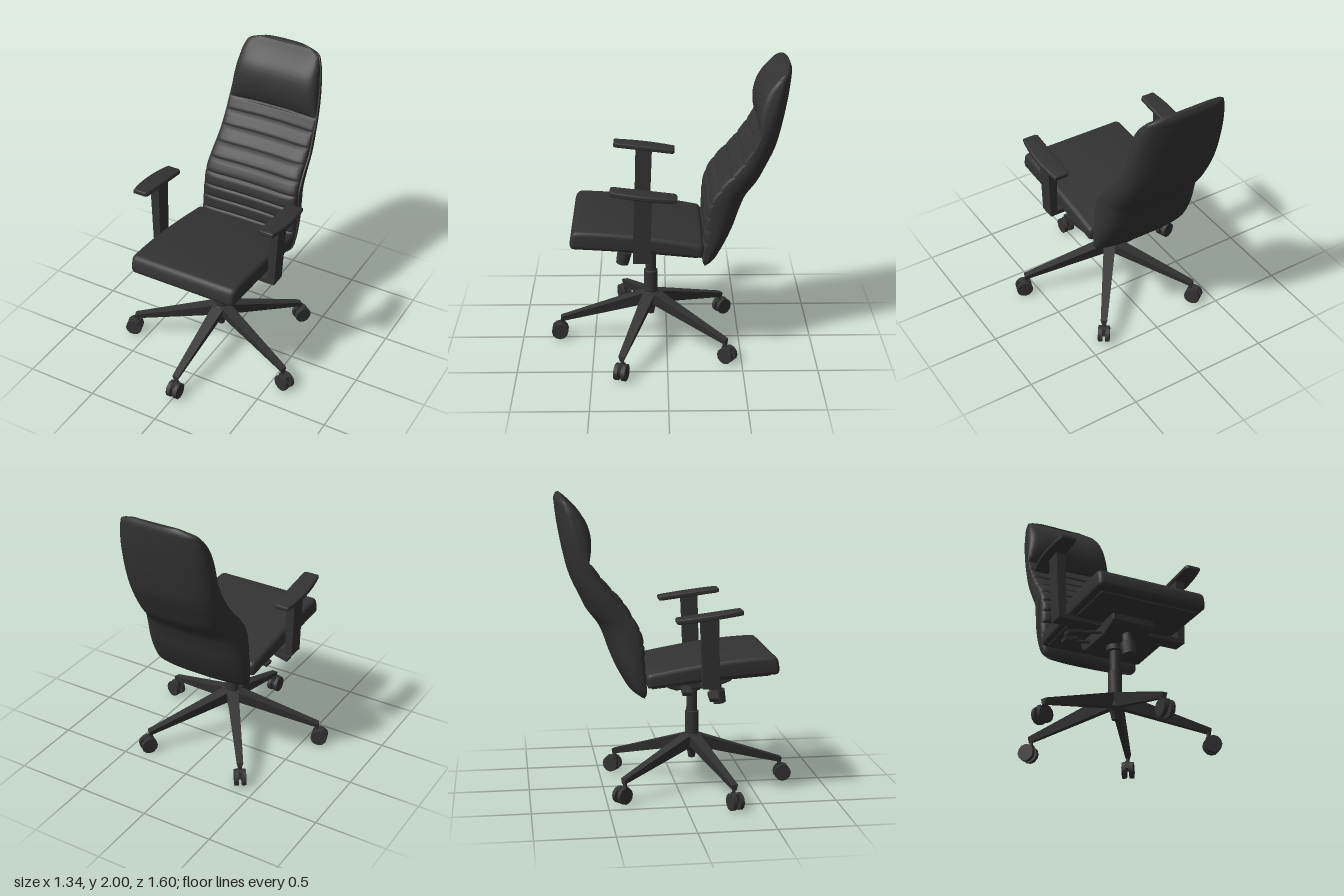
import * as THREE from 'three';
import { toCreasedNormals } from 'three/addons/utils/BufferGeometryUtils.js';

const material = new THREE.MeshStandardMaterial({ color: 0x333333 });

function add(parent, name, geometry, x = 0, y = 0, z = 0) {
  const mesh = new THREE.Mesh(geometry, material);
  mesh.name = name;
  mesh.position.set(x, y, z);
  parent.add(mesh);
  return mesh;
}

// Skin over closed rings, each counter-clockwise seen from above, with capped ends
function loft(rings) {
  const n = rings[0].length, pos = [], index = [];
  rings.forEach(r => r.forEach(p => pos.push(...p)));
  for (let r = 0; r < rings.length - 1; r++) {
    for (let i = 0; i < n; i++) {
      const a = r * n + i, b = r * n + (i + 1) % n;
      index.push(a, b, b + n, a, b + n, a + n);
    }
  }
  const last = (rings.length - 1) * n;
  for (let i = 1; i < n - 1; i++) {
    index.push(0, i + 1, i, last, last + i, last + i + 1);
  }
  const g = new THREE.BufferGeometry();
  g.setAttribute('position', new THREE.Float32BufferAttribute(pos, 3));
  g.setIndex(index);
  return toCreasedNormals(g, 0.6);
}

// Flat-sided bar between two [x, y, z, width, depth] rectangles
function taper(bottom, top) {
  const g = new THREE.BoxGeometry(1, 1, 1), p = g.attributes.position;
  for (let i = 0; i < p.count; i++) {
    const e = p.getY(i) < 0 ? bottom : top;
    p.setXYZ(i, e[0] + p.getX(i) * e[3], e[1], e[2] + p.getZ(i) * e[4]);
  }
  g.computeVertexNormals();
  return g;
}

// Side outline of [z, y] points extruded across x, with rounded edges
function sideExtrude(shape, width, bevel) {
  const g = new THREE.ExtrudeGeometry(shape, {
    depth: width - 2 * bevel, bevelSize: bevel, bevelThickness: bevel,
    bevelOffset: -bevel, bevelSegments: 4, curveSegments: 8,
  });
  g.translate(0, 0, bevel - width / 2);
  g.rotateY(-Math.PI / 2);
  return g;
}

const outline = pts => new THREE.Shape(pts.map(p => new THREE.Vector2(...p)));

// Backrest profile: height, half width, cushion front, shell rim, shell back
const BACK = [
  [0.69, 0.32, -0.25, -0.27, -0.29], [0.72, 0.35, -0.235, -0.28, -0.33],
  [0.78, 0.365, -0.232, -0.295, -0.37], [0.92, 0.37, -0.238, -0.325, -0.44],
  [1.06, 0.365, -0.245, -0.34, -0.49], [1.15, 0.36, -0.275, -0.35, -0.53],
  [1.25, 0.353, -0.34, -0.42, -0.605], [1.35, 0.348, -0.43, -0.51, -0.655],
  [1.47, 0.34, -0.53, -0.575, -0.71], [1.58, 0.335, -0.605, -0.625, -0.74],
  [1.74, 0.322, -0.66, -0.685, -0.772], [1.84, 0.308, -0.69, -0.715, -0.788],
  [1.93, 0.285, -0.72, -0.745, -0.798], [1.975, 0.25, -0.74, -0.765, -0.8],
  [2.0, 0.16, -0.76, -0.775, -0.79],
];
const PILLOW = [
  [1.565, -0.615], [1.59, -0.597], [1.69, -0.573], [1.78, -0.583],
  [1.86, -0.62], [1.94, -0.695], [1.99, -0.755],
];
const spline = rows => new THREE.CubicInterpolant(
  rows.map(r => r[0]), rows.flatMap(r => r.slice(1)), rows[0].length - 1);

// One horizontal section: soft box, wrapped slightly forward at the sides
function section(y, w, front, mid, back, frontPower, backPower) {
  const ring = [], n = 56;
  for (let i = 0; i < n; i++) {
    const a = (i + 0.5) / n * Math.PI * 2, c = Math.cos(a), s = Math.sin(a);
    const u = Math.sign(c) * Math.sqrt(Math.abs(c));
    const z = s > 0 ? mid + (back - mid) * s ** backPower
      : mid + (front - mid) * (-s) ** frontPower;
    ring.push([u * w, y, z + 0.025 * u * u * Math.min(1, w / 0.3)]);
  }
  return ring;
}

function rows(from, to, step, fn) {
  const count = Math.round((to - from) / step);
  return Array.from({ length: count + 1 }, (_, i) => fn(from + (to - from) * i / count));
}

function buildBackrest(parent) {
  const profile = spline(BACK), bulge = spline(PILLOW);
  add(parent, 'backShell', loft(rows(0.69, 2, 0.0131, y => {
    const [w, , rim, back] = profile.evaluate(y);
    return section(y, w, rim + 0.006, rim, back, 0.5, 0.8);
  })));
  // Cushion with stitched horizontal grooves
  add(parent, 'backCushion', loft(rows(0.7, 1.58, 0.0075, y => {
    const [w, front, rim] = profile.evaluate(y);
    const groove = y < 0.77 ? 0 : (1 - Math.abs(Math.sin(Math.PI * (y - 0.77) / 0.09))) ** 3;
    return section(y, w * 0.975, front - 0.016 * groove - 0.008, rim, rim - 0.015, 0.5, 0.5);
  })));
  add(parent, 'headrest', loft(rows(1.565, 1.99, 0.0085, y => {
    const [w, , rim] = profile.evaluate(y);
    return section(y, w * 0.975, bulge.evaluate(y)[0] - 0.008, rim, rim - 0.015, 0.6, 0.5);
  })));
}

function buildSeat(parent) {
  const s = new THREE.Shape();
  s.moveTo(-0.22, 0.76);
  s.lineTo(0.25, 0.808);
  s.lineTo(0.61, 0.832);
  s.quadraticCurveTo(0.638, 0.836, 0.636, 0.87);
  s.quadraticCurveTo(0.632, 0.958, 0.585, 0.958);
  s.bezierCurveTo(0.4, 0.955, 0.15, 0.93, -0.2, 0.862);
  s.quadraticCurveTo(-0.24, 0.855, -0.238, 0.82);
  s.quadraticCurveTo(-0.236, 0.765, -0.22, 0.76);
  const g = sideExtrude(s, 0.77, 0.03), p = g.attributes.position;
  // Narrow slightly toward the rear
  for (let i = 0; i < p.count; i++) {
    p.setX(i, p.getX(i) * (1 - 0.03 * Math.max(0, 0.3 - p.getZ(i)) / 0.5));
  }
  add(parent, 'seatCushion', toCreasedNormals(g, 0.6));
  add(parent, 'seatPan', sideExtrude(outline(
    [[-0.2, 0.752], [0.25, 0.798], [0.58, 0.82], [0.58, 0.85], [-0.2, 0.78]]), 0.68, 0.005));
}

function buildMechanism(parent) {
  add(parent, 'tiltMechanism', sideExtrude(outline([
    [0.37, 0.82], [0.37, 0.765], [0.35, 0.745], [0.24, 0.705], [-0.02, 0.692],
    [-0.07, 0.71], [-0.095, 0.75], [-0.095, 0.79]]), 0.3, 0.012));
  // Tension knob hanging below the front
  const knob = new THREE.Group();
  knob.name = 'tensionKnob';
  knob.position.set(0, 0.61, 0.295);
  knob.rotation.x = -0.2;
  add(knob, 'knobGrip', new THREE.CylinderGeometry(0.05, 0.043, 0.09, 12));
  add(knob, 'knobStem', new THREE.CylinderGeometry(0.03, 0.034, 0.1, 12), 0, 0.09, 0);
  parent.add(knob);
  // Control levers on the right side
  for (const [z, reach, drop] of [[0.2, -0.35, 0.695], [0.03, -0.29, 0.725]]) {
    const path = new THREE.CatmullRomCurve3([
      new THREE.Vector3(-0.12, 0.74, z), new THREE.Vector3(-0.2, 0.725, z),
      new THREE.Vector3(reach, drop, z)]);
    add(parent, 'leverRod', new THREE.TubeGeometry(path, 10, 0.012, 8));
    const paddle = add(parent, 'leverPaddle', new THREE.BoxGeometry(0.1, 0.025, 0.06), reach, drop, z);
    paddle.rotation.z = 0.25;
  }
}

function buildArm(parent, s) {
  const arm = new THREE.Group();
  arm.name = s > 0 ? 'leftArmrest' : 'rightArmrest';
  add(arm, 'armBracket', new THREE.BoxGeometry(0.3, 0.03, 0.11), s * 0.31, 0.785, 0.17);
  add(arm, 'armPost', taper([s * 0.438, 0.77, 0.17, 0.05, 0.11], [s * 0.45, 1.235, 0.155, 0.065, 0.115]));
  // Pad with a bowed outer edge, sloping down to the rear
  const pad = new THREE.Shape();
  pad.moveTo(s * 0.41, -0.2);
  pad.lineTo(s * 0.41, 0.2);
  pad.lineTo(s * 0.425, 0.215);
  pad.lineTo(s * 0.515, 0.215);
  pad.quadraticCurveTo(s * 0.563, 0, s * 0.515, -0.215);
  pad.lineTo(s * 0.425, -0.215);
  const g = new THREE.ExtrudeGeometry(pad, {
    depth: 0.014, bevelSize: 0.01, bevelThickness: 0.01, bevelOffset: -0.01, bevelSegments: 3,
  });
  g.translate(0, 0, -0.007);
  g.rotateX(Math.PI / 2);
  const mesh = add(arm, 'armPad', toCreasedNormals(g, 0.6), 0, 1.247, 0.153);
  mesh.rotation.x = -0.125;
  parent.add(arm);
}

function buildBase(parent) {
  const base = new THREE.Group();
  base.name = 'base';
  base.position.z = 0.11;
  // Gas column and hub as one stepped turning
  const turning = [[0, 0.19], [0.022, 0.19], [0.032, 0.24], [0.055, 0.27], [0.058, 0.355], [0.047, 0.36],
    [0.047, 0.515], [0.037, 0.52], [0.037, 0.66], [0.058, 0.665], [0.058, 0.7], [0, 0.7]];
  add(base, 'gasColumn', toCreasedNormals(
    new THREE.LatheGeometry(turning.map(p => new THREE.Vector2(...p)), 20), 0.6));
  for (let i = 0; i < 5; i++) {
    const leg = new THREE.Group();
    leg.name = 'leg';
    leg.rotation.y = i * Math.PI * 2 / 5;
    // Spoke narrows outward, keel-shaped below
    const g = new THREE.BoxGeometry(1, 1, 1), p = g.attributes.position;
    for (let k = 0; k < p.count; k++) {
      const out = p.getZ(k) > 0, up = p.getY(k) > 0;
      const width = (out ? 0.045 : 0.085) * (up ? 1 : 0.55);
      const y = out ? (up ? 0.165 : 0.127) : (up ? 0.36 : 0.265);
      p.setXYZ(k, p.getX(k) * width, y, out ? 0.625 : 0.035);
    }
    g.computeVertexNormals();
    add(leg, 'spoke', g);
    // Twin-wheel caster
    add(leg, 'casterStem', new THREE.CylinderGeometry(0.012, 0.012, 0.07, 8), 0, 0.115, 0.61);
    add(leg, 'casterBody', new THREE.BoxGeometry(0.03, 0.05, 0.07), 0, 0.085, 0.63);
    for (const s of [-1, 1]) {
      const wheel = new THREE.CylinderGeometry(0.057, 0.057, 0.028, 12);
      wheel.rotateZ(Math.PI / 2);
      add(leg, 'casterWheel', wheel, s * 0.025, 0.057, 0.633);
    }
    base.add(leg);
  }
  parent.add(base);
}

export function createModel() {
  const chair = new THREE.Group();
  chair.name = 'officeChair';
  buildBackrest(chair);
  buildSeat(chair);
  buildMechanism(chair);
  for (const s of [-1, 1]) buildArm(chair, s);
  buildBase(chair);
  return chair;
}
